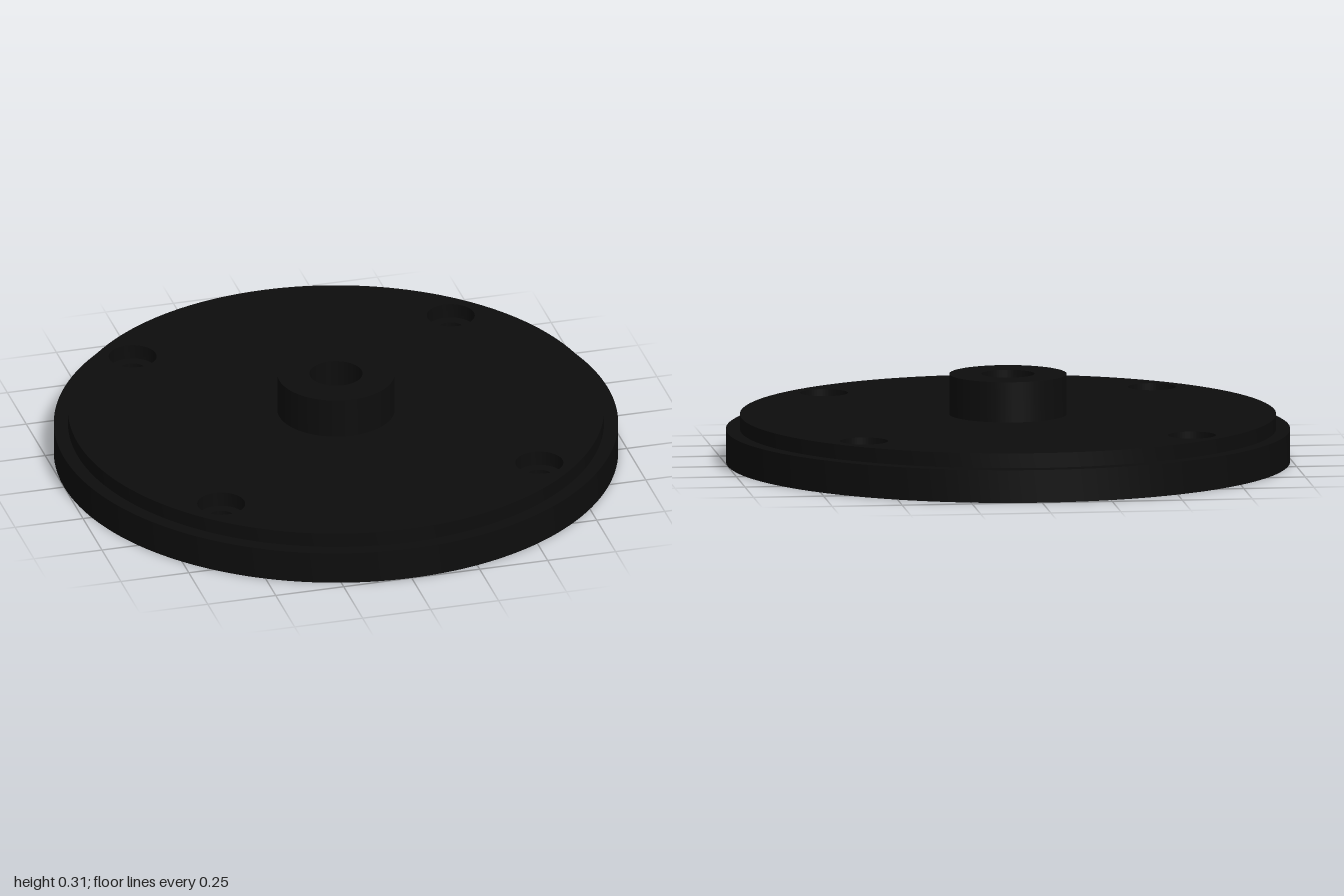
import * as THREE from 'three';
import { toCreasedNormals } from 'three/addons/utils/BufferGeometryUtils.js';

const BORE = 0.094;
const BOLT = 0.585; // bolt hole offset along x and z

// Flat disc from y0 to y1 with a central bore and, optionally, four bolt holes
function disc(name, radius, y0, y1, boltRadius, material) {
  const shape = new THREE.Shape().absarc(0, 0, radius, 0, Math.PI * 2, false);
  const addHole = (x, z, r) =>
    shape.holes.push(new THREE.Path().absarc(x, z, r, 0, Math.PI * 2, true));
  addHole(0, 0, BORE);
  if (boltRadius) {
    for (const sx of [-1, 1]) {
      for (const sz of [-1, 1]) addHole(sx * BOLT, sz * BOLT, boltRadius);
    }
  }
  const extruded = new THREE.ExtrudeGeometry(shape, {
    depth: y1 - y0, bevelEnabled: false, curveSegments: 80,
  });
  extruded.rotateX(-Math.PI / 2).translate(0, y0, 0);
  const mesh = new THREE.Mesh(toCreasedNormals(extruded, Math.PI / 6), material);
  mesh.name = name;
  return mesh;
}

export function createModel() {
  const black = new THREE.MeshStandardMaterial({ color: 0x0d0d0d });
  black.name = 'black';

  const group = new THREE.Group();
  group.name = 'flange';
  group.add(
    disc('basePlate', 1, 0, 0.117, 0.047, black),
    // Wider holes here form the counterbores
    disc('raisedPlate', 0.95, 0.117, 0.17, 0.085, black),
    disc('hub', 0.208, 0.17, 0.314, 0, black),
  );
  return group;
}
